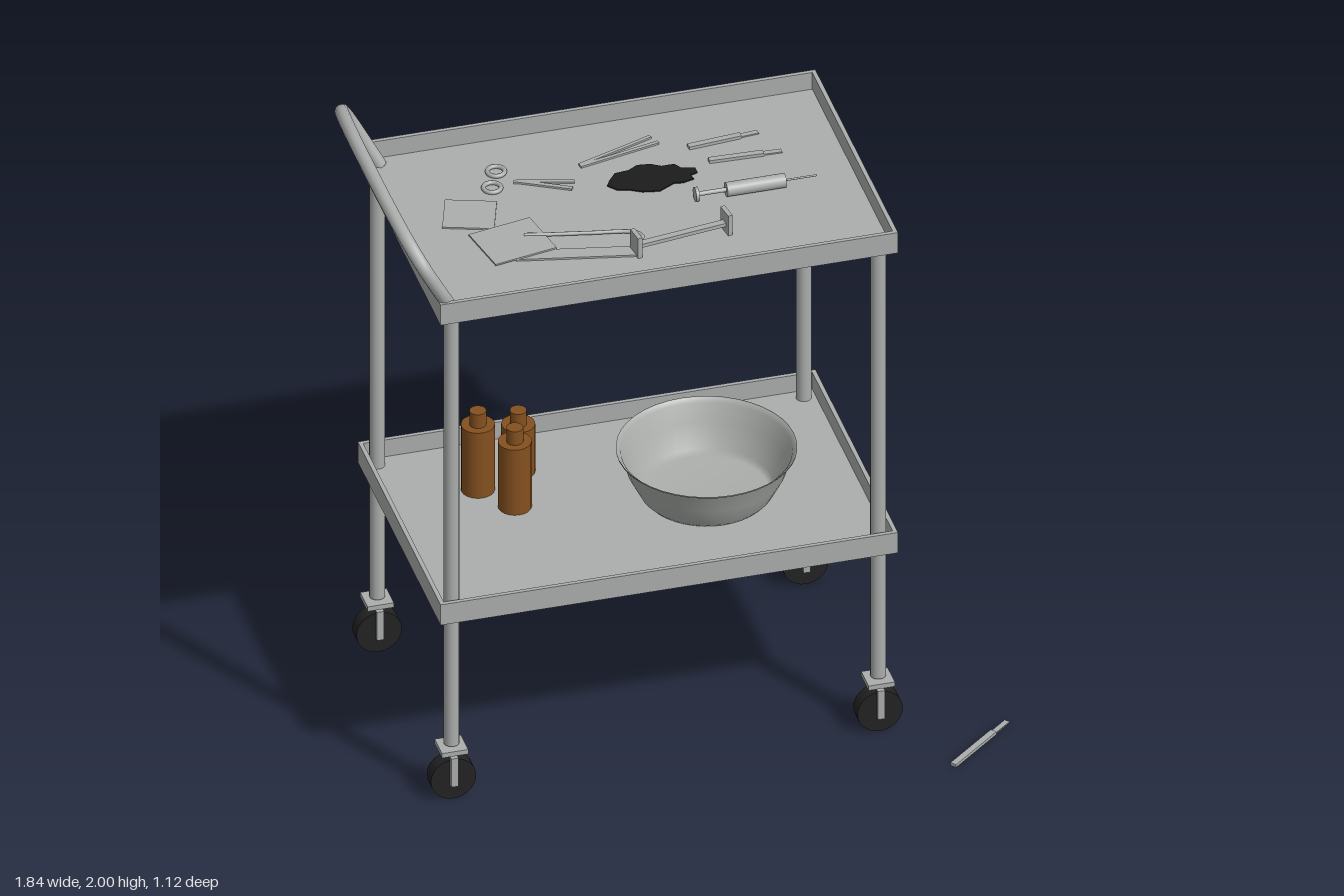
import * as THREE from 'three';

const mat = (name, color, side = THREE.FrontSide) => {
  const m = new THREE.MeshStandardMaterial({ color, side });
  m.name = name;
  return m;
};

export function createModel() {
  const model = new THREE.Group();
  const steel = mat('steel', 0xabaeac);
  const bowlSteel = mat('bowlSteel', 0xabaeab, THREE.DoubleSide);
  const rubber = mat('rubber', 0x222222);
  const amber = mat('amberGlass', 0x85511f);
  const stain = mat('darkStain', 0x1c1c1c);

  const add = (parent, name, geo, material, x = 0, y = 0, z = 0) => {
    const m = new THREE.Mesh(geo, material);
    m.name = name;
    m.position.set(x, y, z);
    parent.add(m);
    return m;
  };
  const group = (name, parent = model) => {
    const g = new THREE.Group();
    g.name = name;
    parent.add(g);
    return g;
  };
  const box = (w, h, d) => new THREE.BoxGeometry(w, h, d);
  // Flat bar lying between two points of the xz plane, y is its underside
  const bar = (parent, name, x0, z0, x1, z1, width, y, h = 0.006) => {
    const m = add(parent, name, box(Math.hypot(x1 - x0, z1 - z0), h, width), steel,
      (x0 + x1) / 2, y + h / 2, (z0 + z1) / 2);
    m.rotation.y = -Math.atan2(z1 - z0, x1 - x0);
    return m;
  };

  // Trays with raised rims
  const CX = -0.108, CZ = -0.115, W = 1.394, D = 0.89, H = 0.072, T = 0.013;
  const tray = (name, y) => {
    const g = group(name);
    g.position.set(CX, y, CZ);
    add(g, 'floor', box(W, T, D), steel, 0, T / 2, 0);
    for (const s of [-1, 1]) {
      add(g, 'longRim', box(W, H - T, T), steel, 0, (H + T) / 2, s * (D - T) / 2);
      add(g, 'shortRim', box(T, H - T, D - 2 * T), steel, s * (W - T) / 2, (H + T) / 2, 0);
    }
  };
  tray('lowerTray', 0.632);
  tray('upperTray', 1.692);
  const lowY = 0.632 + T, topY = 1.692 + T;

  // Legs and casters
  for (const x of [-0.76, 0.54]) for (const z of [-0.512, 0.288]) {
    add(model, 'leg', new THREE.CylinderGeometry(0.023, 0.023, 1.515, 20), steel, x, 0.94, z);
    const c = group('caster');
    c.position.set(x, 0, z);
    add(c, 'plate', box(0.08, 0.016, 0.08), steel, 0, 0.168, 0);
    add(c, 'stem', new THREE.CylinderGeometry(0.013, 0.013, 0.045, 12), steel, 0, 0.164, 0);
    add(c, 'forkBridge', box(0.022, 0.008, 0.074), steel, 0, 0.145, 0);
    for (const s of [-1, 1]) add(c, 'forkArm', box(0.022, 0.095, 0.012), steel, 0, 0.097, s * 0.031);
    const wheel = add(c, 'wheel', new THREE.CylinderGeometry(0.069, 0.069, 0.046, 28), rubber, 0, 0.069, 0);
    wheel.rotation.x = Math.PI / 2;
  }

  // Leaning push handle, mirrored from half its path
  const half = [[1.7, 0.4], [1.8, 0.424], [1.885, 0.42], [1.94, 0.36], [1.973, 0.2]];
  const at = (y, dz) => new THREE.Vector3(-0.75 - (y - 1.7) * 0.535, y, CZ + dz);
  const path = [...half.map(([y, d]) => at(y, d)), at(1.98, 0), ...half.map(([y, d]) => at(y, -d)).reverse()];
  add(model, 'handle', new THREE.TubeGeometry(new THREE.CatmullRomCurve3(path), 40, 0.021, 12), steel);

  // Bottles
  for (const [x, z, h] of [[-0.51, -0.31, 0.23], [-0.43, -0.195, 0.23], [-0.37, -0.37, 0.167]]) {
    const b = group('bottle');
    b.position.set(x, lowY, z);
    add(b, 'body', new THREE.CylinderGeometry(0.05, 0.05, h, 20), amber, 0, h / 2, 0);
    add(b, 'neck', new THREE.CylinderGeometry(0.025, 0.025, 0.048, 16), amber, 0, h + 0.024, 0);
  }

  // Basin
  const bowl = [[0, 0.003], [0.185, 0.003], [0.2, 0.02], [0.235, 0.09], [0.252, 0.148],
    [0.266, 0.157], [0.266, 0.162]].map(p => new THREE.Vector2(...p));
  add(model, 'basin', new THREE.LatheGeometry(bowl, 40), bowlSteel, 0.13, lowY, -0.11);

  // Scissors
  const tools = group('instruments');
  const scissors = group('scissors', tools);
  for (const [x, z] of [[-0.436, -0.377], [-0.47, -0.298]])
    add(scissors, 'ring', new THREE.TorusGeometry(0.026, 0.007, 8, 24).rotateX(Math.PI / 2), steel, x, topY + 0.006, z);
  bar(scissors, 'blade', -0.4, -0.313, -0.228, -0.267, 0.014, topY);
  bar(scissors, 'blade', -0.395, -0.312, -0.245, -0.23, 0.014, topY + 0.002);

  // Tweezers
  const tweezers = group('tweezers', tools);
  bar(tweezers, 'arm', -0.19, -0.345, 0.05, -0.432, 0.012, topY);
  bar(tweezers, 'arm', -0.19, -0.338, 0.064, -0.397, 0.012, topY);

  // Scalpels: two on the tray, one on the ground
  const scalpel = (x0, z0, x1, z1, y) => {
    const g = group('scalpel', tools), t = 0.75;
    const mx = x0 + (x1 - x0) * t, mz = z0 + (z1 - z0) * t;
    bar(g, 'grip', x0, z0, mx, mz, 0.02, y, 0.01);
    bar(g, 'blade', mx, mz, x1, z1, 0.017, y + 0.002, 0.004);
  };
  scalpel(0.142, -0.348, 0.36, -0.369, topY);
  scalpel(0.18, -0.263, 0.4, -0.255, topY);
  scalpel(0.695, 0.55, 0.91, 0.37, 0);

  // Syringe
  const syringe = group('syringe', tools);
  syringe.position.set(0, topY + 0.022, -0.078);
  const rod = (name, x0, x1, r) => add(syringe, name,
    new THREE.CylinderGeometry(r, r, x1 - x0, 16).rotateZ(Math.PI / 2), steel, (x0 + x1) / 2, 0, 0);
  rod('thumbRest', 0.085, 0.095, 0.022);
  rod('plunger', 0.095, 0.18, 0.007);
  rod('barrel', 0.18, 0.36, 0.022);
  rod('needle', 0.36, 0.456, 0.003);

  // Retractor: bar with upright end plates
  const retractor = group('retractor', tools);
  bar(retractor, 'bar', -0.15, 0.14, 0.132, 0.098, 0.022, topY + 0.022, 0.012);
  for (const [x, z] of [[-0.155, 0.141], [0.132, 0.098]]) {
    const p = add(retractor, 'endPlate', box(0.014, 0.07, 0.056), steel, x, topY + 0.035, z);
    p.rotation.y = 0.15;
  }

  // Long blade and bent probe
  bar(tools, 'longBlade', -0.5, 0.062, -0.152, 0.135, 0.048, topY, 0.006);
  const pts = [[-0.45, -0.025], [-0.39, -0.01], [-0.26, 0.018], [-0.135, 0.048], [-0.117, 0.075], [-0.15, 0.12]]
    .map(([x, z]) => new THREE.Vector3(x, topY + 0.012, z));
  add(tools, 'probe', new THREE.TubeGeometry(new THREE.CatmullRomCurve3(pts), 30, 0.006, 8), steel);

  // Gauze squares
  const gauze = (x, z, w, d, y, turn) => {
    add(tools, 'gauze', box(w, 0.005, d), steel, x, topY + y, z).rotation.y = turn;
  };
  gauze(-0.572, -0.181, 0.153, 0.145, 0.004, -0.33);
  gauze(-0.491, -0.003, 0.2, 0.177, 0.01, 0.19);

  // Irregular stain
  const blot = [[-0.142, -0.22], [-0.127, -0.245], [-0.103, -0.275], [-0.059, -0.28], [-0.029, -0.299],
    [0.01, -0.294], [0.039, -0.275], [0.078, -0.275], [0.093, -0.25], [0.132, -0.24], [0.132, -0.216],
    [0.108, -0.206], [0.113, -0.186], [0.078, -0.176], [0.05, -0.18], [0, -0.152], [-0.05, -0.162],
    [-0.083, -0.181], [-0.118, -0.19]].map(([x, z]) => new THREE.Vector2(x, -z));
  add(tools, 'stain', new THREE.ExtrudeGeometry(new THREE.Shape(blot), { depth: 0.004, bevelEnabled: false })
    .rotateX(-Math.PI / 2), stain, 0, topY, 0);

  return model;
}
